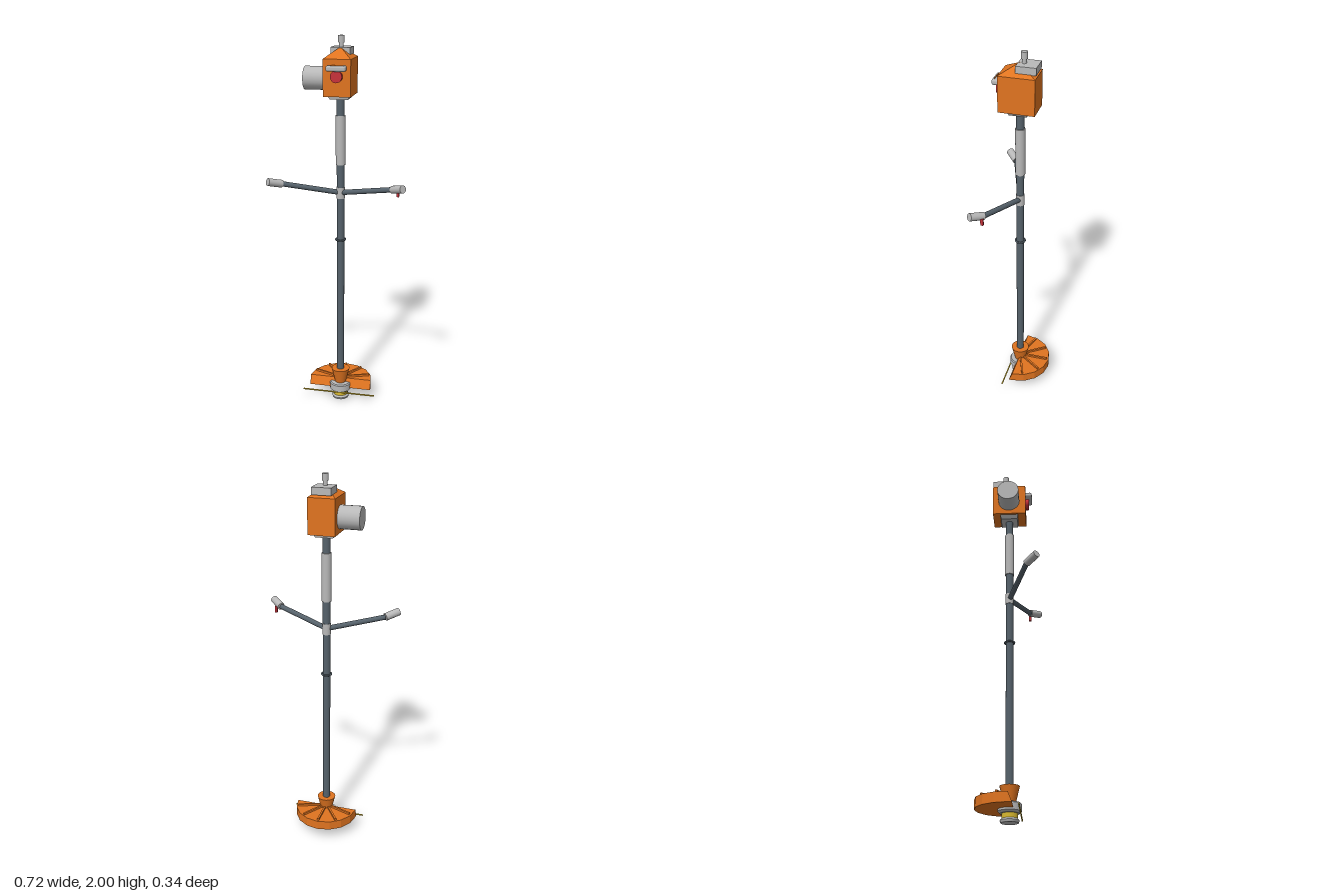
import * as THREE from 'three';
import { RoundedBoxGeometry } from 'three/addons/geometries/RoundedBoxGeometry.js';
import { ConvexGeometry } from 'three/addons/geometries/ConvexGeometry.js';

const mat = (name, color, flatShading = false) => {
  const m = new THREE.MeshStandardMaterial({ color, flatShading });
  m.name = name;
  return m;
};
const V = (x, y, z) => new THREE.Vector3(x, y, z);

export function createModel() {
  const model = new THREE.Group();
  model.name = 'stringTrimmer';
  const orange = mat('orangePlastic', 0xe07420);
  const gray = mat('grayPlastic', 0xb9b9b9);
  const steel = mat('slateTube', 0x56626b);
  const red = mat('redControl', 0xc8323a);
  const yellow = mat('yellowLine', 0xd8b830);

  const add = (name, geo, material, x = 0, y = 0, z = 0) => {
    const mesh = new THREE.Mesh(geo, material);
    mesh.name = name;
    mesh.position.set(x, y, z);
    model.add(mesh);
    return mesh;
  };
  // Upright cylinder or cone between two heights
  const post = (name, rTop, rBottom, y0, y1, material, z = 0, sides = 24) =>
    add(name, new THREE.CylinderGeometry(rTop, rBottom, y1 - y0, sides), material, 0, (y0 + y1) / 2, z);
  // Cylinder between two points
  const rod = (name, a, b, r, material) => {
    const mesh = add(name, new THREE.CylinderGeometry(r, r, a.distanceTo(b), 20), material);
    mesh.position.copy(a).add(b).multiplyScalar(0.5);
    mesh.quaternion.setFromUnitVectors(V(0, 1, 0), b.clone().sub(a).normalize());
    return mesh;
  };
  const box = (name, w, h, d, material, x, y, z) =>
    add(name, new THREE.BoxGeometry(w, h, d), material, x, y, z);

  // Shaft and its fittings
  post('shaft', 0.02, 0.02, 0.15, 1.7, steel);
  post('shaftGrip', 0.025, 0.025, 1.35, 1.605, gray);
  post('handleClamp', 0.022, 0.022, 1.17, 1.23, gray);
  add('hangingRing', new THREE.TorusGeometry(0.025, 0.005, 8, 28), steel, 0, 0.942, 0).rotation.x = Math.PI / 2;

  // Handlebars, mirrored
  for (const s of [1, -1]) {
    const elbow = V(s * 0.288, 1.258, 0.103);
    rod('handlebar', V(0, 1.2, 0), elbow, 0.0135, steel);
    rod('handGrip', elbow, V(s * 0.347, 1.277, 0.156), 0.02, gray);
  }
  box('throttleTrigger', 0.012, 0.035, 0.014, red, 0.316, 1.24, 0.103);

  // Guard: half disc with a sloping front edge and ribs on top
  const corners = [];
  for (const [y, front] of [[0.115, 0], [0.065, 0.02]]) {
    for (let i = 0; i <= 8; i++) {
      const a = (i / 8) * Math.PI;
      corners.push(V(0.172 * Math.cos(a), y, -0.172 * Math.sin(a)));
    }
    corners.push(V(0.172, y, front), V(-0.172, y, front));
  }
  add('guard', new ConvexGeometry(corners), orange);
  for (const deg of [-70, -35, 0, 35, 70]) {
    const a = THREE.MathUtils.degToRad(deg);
    const r = 0.096;
    box('guardRib', 0.01, 0.014, 0.132, orange, r * Math.sin(a), 0.119, -r * Math.cos(a)).rotation.y = -a;
  }

  // Cutting head
  post('headCone', 0.05, 0.03, 0.095, 0.178, orange);
  const profile = [[0, 0.045], [0.048, 0.045], [0.059, 0.055], [0.059, 0.09], [0.054, 0.096], [0, 0.096]];
  // Split the profile into separate bands so its edges stay sharp
  for (let i = 0; i < profile.length - 1; i++) {
    const band = profile.slice(i, i + 2).map(p => new THREE.Vector2(...p));
    add('headCollar', new THREE.LatheGeometry(band, 28), gray);
  }
  post('spool', 0.04, 0.04, 0.018, 0.046, yellow);
  post('spoolCap', 0.036, 0.048, 0.012, 0.026, gray);
  post('bumpKnob', 0.048, 0.044, 0, 0.012, gray);
  box('cuttingLine', 0.405, 0.006, 0.006, yellow, 0, 0.05, 0.053);

  // Engine housing with a pyramid roof
  const shell = [V(0, 1.945, 0.002)];
  for (const x of [-0.07, 0.07]) for (const z of [-0.09, 0.093]) {
    shell.push(V(x, 1.71, z), V(x, 1.893, z));
  }
  add('engineHousing', new ConvexGeometry(shell), orange);

  // Tapered mount under the engine
  const mount = [];
  for (const x of [-1, 1]) for (const z of [-1, 1]) {
    mount.push(V(x * 0.06, 1.712, z * 0.05), V(x * 0.045, 1.69, z * 0.045));
  }
  add('engineMount', new ConvexGeometry(mount), gray);

  // Side cylinder
  rod('engineCylinder', V(-0.06, 1.79, 0), V(-0.183, 1.79, 0), 0.059, gray);

  // Top cover and plug
  box('topCover', 0.1, 0.037, 0.1, gray, 0, 1.9245, -0.04);
  post('plugNeck', 0.011, 0.011, 1.94, 1.967, gray, -0.02);
  post('plugCap', 0.016, 0.016, 1.965, 2, gray, -0.02);

  // Starter handle and red button on the front
  add('starterHandle', new RoundedBoxGeometry(0.1, 0.028, 0.05, 3, 0.01), gray, 0, 1.85, 0.104);
  box('starterSlot', 0.072, 0.004, 0.004, orange, 0, 1.8645, 0.116);
  rod('starterButton', V(0, 1.81, 0.088), V(0, 1.81, 0.112), 0.03, red);

  return model;
}
